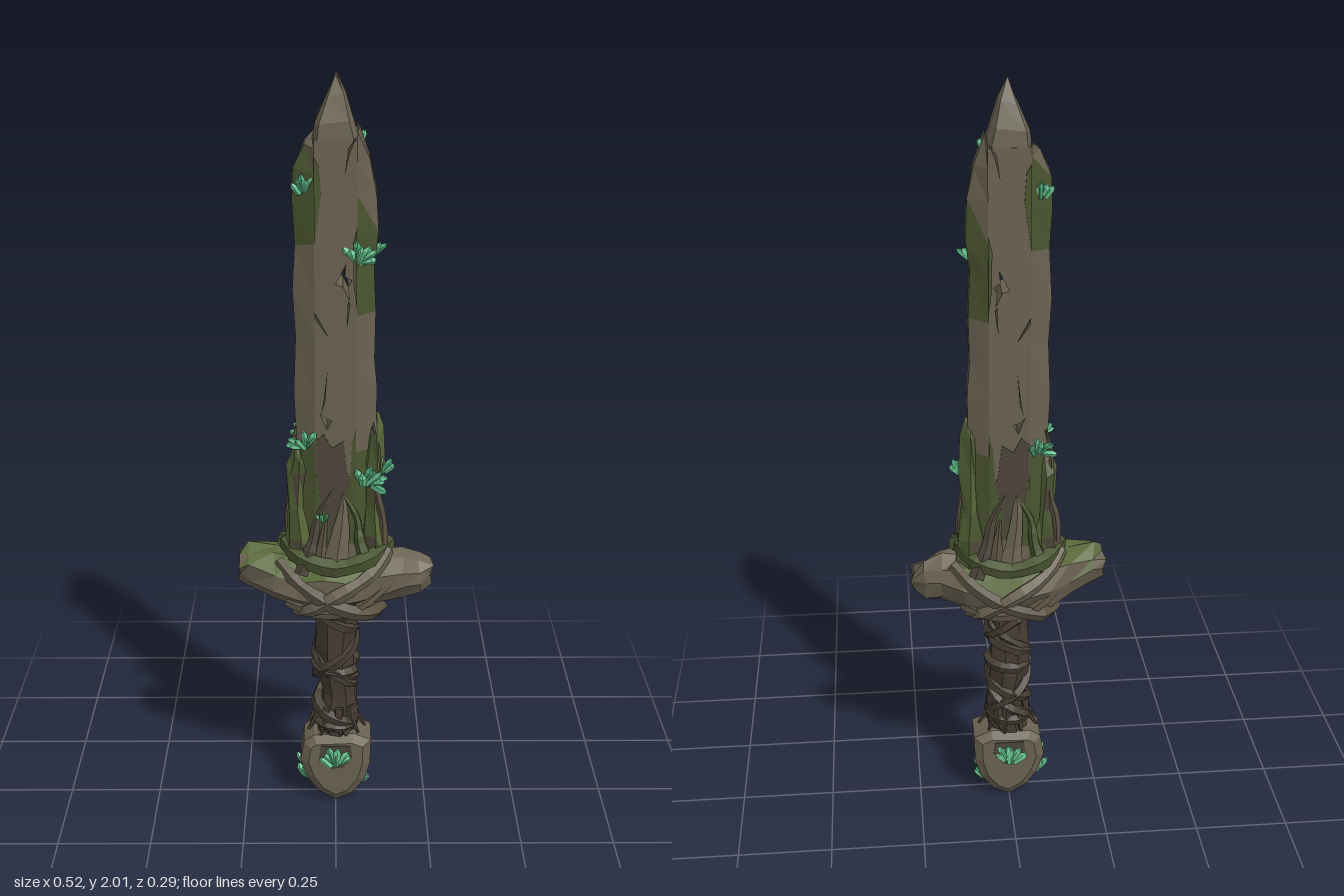
import * as THREE from 'three';

const mat = (name, color) => Object.assign(new THREE.MeshStandardMaterial({ color }), { name });
const V = (x, y, z) => new THREE.Vector3(x, y, z);

export function createModel() {
  const stone = mat('stone', 0x6a6252), dark = mat('darkStone', 0x4c453a), moss = mat('moss', 0x5a693b),
    deepMoss = mat('deepMoss', 0x4a5430), wood = mat('gripWood', 0x463d33), root = mat('root', 0x595041),
    crystal = mat('crystal', 0x6ac894), deepCrystal = mat('deepCrystal', 0x4fa878);
  const model = new THREE.Group();
  model.name = 'overgrownStoneSword';

  let seed = 7;
  const rnd = () => (seed = (seed * 16807) % 2147483647) / 2147483647;
  const jit = (a) => (rnd() - 0.5) * 2 * a;

  const add = (name, geo, material, parent = model) => {
    const g = geo.index ? geo.toNonIndexed() : geo;
    g.computeVertexNormals();
    const m = new THREE.Mesh(g, material);
    m.name = name;
    parent.add(m);
    return m;
  };

  // Skin of quads over closed rings; paint(centre, normal) picks each triangle's material index
  function loft(rings, paint = () => 0) {
    const buckets = [[], [], []];
    const tri = (a, b, c) => {
      const n = b.clone().sub(a).cross(c.clone().sub(a)).normalize();
      const mid = a.clone().add(b).add(c).divideScalar(3);
      buckets[paint(mid, n)].push(...a.toArray(), ...b.toArray(), ...c.toArray());
    };
    const k = rings[0].length;
    for (let i = 0; i < rings.length - 1; i++) for (let j = 0; j < k; j++) {
      const a = rings[i][j], b = rings[i][(j + 1) % k], c = rings[i + 1][(j + 1) % k], d = rings[i + 1][j];
      tri(a, d, c);
      tri(a, c, b);
    }
    [rings[0], rings.at(-1)].forEach((r, end) => {
      const mid = r.reduce((s, p) => s.add(p), V(0, 0, 0)).divideScalar(k);
      r.forEach((p, j) => end ? tri(mid, r[(j + 1) % k], p) : tri(mid, p, r[(j + 1) % k]));
    });
    const geo = new THREE.BufferGeometry();
    geo.setAttribute('position', new THREE.Float32BufferAttribute(buckets.flat(), 3));
    let start = 0;
    buckets.forEach((b, i) => { geo.addGroup(start, b.length / 3, i); start += b.length / 3; });
    return geo;
  }

  // Upright stack of ovals: rows of [y, x centre, x radius, z radius]
  const stack = (rows, sides, rough) => rows.map(([y, cx, rx, rz]) => Array.from({ length: sides }, (_, j) => {
    const a = (j + 0.5) / sides * Math.PI * 2;
    return V(cx + rx * Math.cos(a) + jit(rough), y + jit(rough), rz * Math.sin(a) + jit(rough));
  }));

  // Tapering strand along a curve
  function strand(name, pts, r0, r1, material, parent = model, n = 12) {
    const curve = new THREE.CatmullRomCurve3(pts.map((p) => V(...p)));
    const { normals, binormals } = curve.computeFrenetFrames(n);
    const rings = normals.map((N, i) => {
      const p = curve.getPoint(i / n), r = (r0 + (r1 - r0) * i / n) * (1 + jit(0.15));
      return Array.from({ length: 5 }, (_, j) => {
        const a = j / 5 * Math.PI * 2;
        return p.clone().addScaledVector(binormals[i], r * Math.cos(a)).addScaledVector(N, r * Math.sin(a));
      });
    });
    return add(name, loft(rings), material, parent);
  }

  const outline = (pts) => new THREE.Shape(pts.map((p) => new THREE.Vector2(...p)));

  // Blade: flat middle with two chipped holes, bevelled edges, pointed tip
  const blade = new THREE.Group();
  blade.name = 'blade';
  model.add(blade);
  const xi = 0.052, h = 0.053;
  const plate = outline([[-xi, 0.74], [xi, 0.74], [xi, 1.85], [-xi, 1.85]]);
  plate.holes.push(
    outline([[0.0, 1.5], [0.015, 1.53], [0.025, 1.55], [0.022, 1.52], [0.04, 1.51], [0.03, 1.495], [0.034, 1.46], [0.018, 1.495]]),
    outline([[-0.04, 1.165], [-0.025, 1.15], [-0.01, 1.145], [-0.022, 1.12], [-0.03, 1.14]]));
  add('bladeMiddle', new THREE.ExtrudeGeometry(plate, { depth: 2 * h, bevelEnabled: false }).translate(0, 0, -h), stone, blade);

  const edges = {
    1: [[0.74, 0.105], [0.9, 0.11], [1.06, 0.103], [1.22, 0.105], [1.3, 0.098], [1.42, 0.1], [1.54, 0.095], [1.62, 0.105], [1.72, 0.1], [1.8, 0.083], [1.87, 0.056]],
    '-1': [[0.74, 0.1], [0.92, 0.108], [1.08, 0.1], [1.2, 0.106], [1.36, 0.1], [1.47, 0.107], [1.6, 0.1], [1.7, 0.106], [1.77, 0.103], [1.83, 0.075], [1.86, 0.056]],
  };
  for (const s of [1, -1]) {
    const rings = edges[s].map(([y, x]) => [[x, -0.022], [x, 0.022], [xi, h], [xi, -h]]
      .map(([px, pz], j) => V(s * px, y + (j < 2 ? jit(0.012) : 0), s * pz)));
    const paint = (c, n) => {
      const flat = Math.abs(n.x) > 0.8;
      const grown = c.y < 1.08 || (s > 0 ? c.y > 1.42 && c.y < (flat ? 1.8 : 1.68) : c.y > 1.6 && c.y < 1.8);
      return grown ? (flat ? 1 : 2) : 0;
    };
    add(s > 0 ? 'leftEdge' : 'rightEdge', loft(rings, paint), [stone, moss, deepMoss], blade);
  }
  const tipRing = (y, kx, kz, cx) => [[0.058, -0.02], [0.058, 0.02], [0.045, 0.053], [-0.045, 0.053], [-0.058, 0.02], [-0.058, -0.02], [-0.045, -0.053], [0.045, -0.053]]
    .map(([x, z]) => V(cx + x * kx, y + x * 0.1, z * kz));
  add('bladeTip', loft([tipRing(1.84, 1, 1, 0), tipRing(1.89, 0.8, 0.9, -0.004), tipRing(1.95, 0.42, 0.5, 0), tipRing(2, 0.01, 0.01, 0)]), stone, blade);

  // Thin stains, moss growth and cracks on both faces
  const patches = [
    ['darkStain', dark, [[-0.05, 0.82], [0.05, 0.82], [0.051, 0.96], [0.03, 1.0], [0.02, 1.09], [-0.01, 1.07], [-0.03, 1.11], [-0.051, 1.09]]],
    ['mossLowerLeft', deepMoss, [[0.052, 0.8], [0.052, 1.12], [0.042, 1.08], [0.038, 0.98], [0.015, 0.9], [0.02, 0.8]]],
    ['mossLowerRight', deepMoss, [[-0.052, 0.8], [-0.01, 0.8], [-0.025, 0.9], [-0.04, 0.93], [-0.044, 0.98], [-0.052, 1.0]]],
    ['mossUpper', deepMoss, [[-0.052, 1.6], [-0.045, 1.65], [-0.035, 1.72], [-0.04, 1.79], [-0.052, 1.81]]],
    ['mossMiddle', deepMoss, [[0.052, 1.44], [0.052, 1.64], [0.042, 1.6], [0.044, 1.5]]],
    ['crackTop', dark, [[0.05, 1.86], [0.03, 1.83], [0.022, 1.77], [0.034, 1.82]]],
    ['crackHole', dark, [[0.03, 1.46], [0.028, 1.39], [0.036, 1.45]]],
    ['crackSide', dark, [[-0.052, 1.43], [-0.02, 1.37], [-0.052, 1.415]]],
    ['crackLow', dark, [[-0.02, 1.28], [-0.03, 1.2], [-0.035, 1.17], [-0.026, 1.2]]],
  ];
  patches.forEach(([name, m, pts], i) => {
    const depth = 0.003 + i * 0.0004;
    for (const z of [h - 0.001, -h + 0.001 - depth])
      add(name, new THREE.ExtrudeGeometry(outline(pts), { depth, bevelEnabled: false }).translate(0, 0, z), m, blade);
  });

  // Mossy lumps hugging the blade's lower edges
  for (const s of [1, -1]) {
    const top = s > 0 ? 1.15 : 1.08;
    add('mossLump', loft(stack([[0.74, s * 0.1, 0.045, 0.072], [0.82, s * 0.095, 0.038, 0.068], [0.9, s * 0.098, 0.029, 0.06], [1, s * 0.1, 0.026, 0.056], [top - 0.05, s * 0.1, 0.02, 0.045], [top, s * 0.098, 0.006, 0.015]], 7, 0.007),
      (c, n) => Math.abs(n.x) > 0.7 ? 0 : Math.sin(c.y * 45 + c.z * 50) > 0.7 ? 2 : 1), [moss, deepMoss, dark]);
  }

  // Guard: rough boulder bar along x, moss on the upper faces of its right half
  const guardRows = [[-0.255, 0.715, 0.04, 0.05], [-0.225, 0.715, 0.06, 0.062], [-0.16, 0.695, 0.075, 0.085], [-0.1, 0.685, 0.08, 0.1], [-0.03, 0.685, 0.085, 0.118],
    [0.05, 0.685, 0.085, 0.118], [0.12, 0.69, 0.075, 0.095], [0.18, 0.695, 0.066, 0.065], [0.225, 0.69, 0.058, 0.045], [0.256, 0.685, 0.038, 0.018]];
  const guardRings = guardRows.map(([x, cy, ry, rz]) => Array.from({ length: 9 }, (_, j) => {
    const a = (j + 0.5) / 9 * Math.PI * 2;
    return V(x + jit(0.007), cy + ry * Math.sin(a) + jit(0.009), rz * Math.cos(a) + jit(0.008));
  }));
  add('guard', loft(guardRings, (c, n) => n.y > 0.42 && c.x < 0.1 && c.x > -0.24 ? 1 : n.y < -0.75 ? 2 : 0), [stone, moss, dark]);

  // Roots and shards around the guard, repeated on the back
  for (const turn of [0, Math.PI]) {
    const g = new THREE.Group();
    g.name = turn ? 'backRoots' : 'frontRoots';
    g.rotation.y = turn;
    model.add(g);
    strand('crossRoot', [[-0.15, 0.75, 0.05], [-0.09, 0.7, 0.1], [0, 0.65, 0.122], [0.08, 0.62, 0.1], [0.12, 0.61, 0.03]], 0.016, 0.022, root, g);
    strand('crossRoot', [[0.14, 0.78, 0.04], [0.09, 0.73, 0.095], [0, 0.68, 0.123], [-0.07, 0.63, 0.1], [-0.1, 0.6, 0.03]], 0.018, 0.022, stone, g);
    strand('lowRoot', [[-0.13, 0.64, 0.07], [-0.03, 0.615, 0.1], [0.06, 0.64, 0.108], [0.15, 0.7, 0.065]], 0.014, 0.013, root, g);
    strand('collarMoss', [[-0.13, 0.785, 0.0], [-0.09, 0.77, 0.075], [0, 0.75, 0.095], [0.09, 0.77, 0.078], [0.14, 0.785, 0.0]], 0.022, 0.022, deepMoss, g);
    strand('climbingRoot', [[-0.09, 0.73, 0.09], [-0.06, 0.81, 0.068], [-0.045, 0.88, 0.058], [-0.01, 0.95, 0.052]], 0.022, 0.004, dark, g);
    strand('climbingRoot', [[0.09, 0.74, 0.08], [0.065, 0.81, 0.066], [0.055, 0.88, 0.056], [0.02, 0.94, 0.052]], 0.02, 0.004, deepMoss, g);
    strand('shard', [[0, 0.74, 0.07], [0.01, 0.82, 0.06], [0.02, 0.89, 0.055], [0.018, 0.95, 0.05]], 0.035, 0.005, stone, g, 4);
    strand('shard', [[-0.04, 0.74, 0.07], [-0.035, 0.8, 0.062], [-0.025, 0.88, 0.055]], 0.026, 0.004, root, g, 4);
    strand('edgeVine', [[0.125, 0.76, 0.03], [0.122, 0.87, 0.04], [0.105, 0.95, 0.045], [0.11, 1.05, 0.035], [0.095, 1.12, 0.035]], 0.014, 0.004, root, g);
  }

  // Grip: faceted core with crossing wraps and a splintered collar
  const grip = new THREE.Group();
  grip.name = 'grip';
  model.add(grip);
  add('gripCore', loft(stack([[0.19, 0, 0.052, 0.052], [0.26, 0.008, 0.058, 0.056], [0.33, 0.01, 0.05, 0.054], [0.4, 0, 0.054, 0.06], [0.47, -0.006, 0.052, 0.057], [0.54, 0, 0.058, 0.06], [0.62, 0, 0.062, 0.06]], 8, 0.005)), wood, grip);
  const helix = (y0, y1, turns, phase, rx, rz) => Array.from({ length: 17 }, (_, i) => {
    const a = phase + turns * i / 16 * Math.PI * 2;
    return [rx * Math.cos(a), y0 + (y1 - y0) * i / 16, rz * Math.sin(a)];
  });
  strand('wrap', helix(0.23, 0.6, 2.5, 0, 0.051, 0.055), 0.016, 0.016, wood, grip, 40);
  strand('wrap', helix(0.22, 0.6, -1.6, 1.2, 0.051, 0.055), 0.014, 0.016, wood, grip, 32);
  strand('wrap', helix(0.25, 0.58, 1.5, 3.4, 0.05, 0.054), 0.015, 0.012, dark, grip, 32);
  for (const y of [0.25, 0.42, 0.595]) strand('band', helix(y - 0.012, y + 0.012, 1, 0.4, 0.052, 0.054), 0.015, 0.015, wood, grip, 16);
  for (let i = 0; i < 9; i++) {
    const a = i / 9 * Math.PI * 2, c = Math.cos(a), s = Math.sin(a), d = 0.02 * rnd();
    strand('splinter', [[0.046 * c, 0.3, 0.05 * s], [0.055 * c, 0.26, 0.055 * s], [(0.065 + d) * c, 0.215, 0.06 * s]], 0.015, 0.004, wood, grip, 4);
  }

  // Pommel: flat bevelled stone
  const pommel = outline([[-0.06, 0.21], [-0.088, 0.19], [-0.098, 0.13], [-0.08, 0.075], [-0.05, 0.03], [0, 0], [0.045, 0.02], [0.08, 0.065], [0.096, 0.12], [0.098, 0.195], [0.05, 0.215]]);
  add('pommel', new THREE.ExtrudeGeometry(pommel, { depth: 0.09, bevelThickness: 0.016, bevelSize: 0.022, bevelOffset: -0.022, bevelSegments: 1 }).translate(0, 0, -0.045), stone);
  for (const z of [0.06, -0.0635])
    add('pommelHollow', new THREE.ExtrudeGeometry(outline([[-0.04, 0.185], [-0.045, 0.15], [-0.015, 0.11], [0.02, 0.115], [0.045, 0.15], [0.04, 0.185]]), { depth: 0.0035, bevelEnabled: false }).translate(0, 0, z), dark);

  // Crystal clusters fanning out: [position, growth direction, count, size, fan half-angle]
  const clusters = [
    [[0.055, 1.555, 0.047], [0.3, 0.8, 0.25], 8, 0.055, 1.1], [[0.09, 1.56, 0.005], [0.4, 0.8, 0], 3, 0.045, 0.5],
    [[0.08, 0.975, 0.055], [0.5, 0.5, 0.25], 9, 0.058, 1.2], [[0.118, 0.99, 0.01], [0.3, 0.8, 0], 4, 0.05, 0.7],
    [[-0.08, 1.075, 0.047], [-0.35, 0.6, 0.3], 7, 0.052, 1.1], [[-0.075, 1.07, -0.052], [-0.3, 0.6, -0.3], 6, 0.05, 1.1],
    [[-0.078, 1.725, 0.04], [-0.1, 0.9, 0.2], 5, 0.045, 0.6], [[-0.078, 1.725, -0.04], [-0.1, 0.9, -0.2], 4, 0.045, 0.6],
    [[-0.035, 0.865, 0.06], [0, 0.8, 0.3], 3, 0.035, 0.6], [[0.058, 1.835, -0.01], [0.1, 1, 0], 2, 0.04, 0.25],
    [[0, 0.125, 0.062], [0, 1, 0.06], 8, 0.058, 0.95], [[0, 0.125, -0.062], [0, 1, -0.06], 8, 0.058, 0.95],
    [[0.07, 0.05, 0.026], [0.25, 0.9, 0.1], 4, 0.045, 0.4], [[0.07, 0.05, -0.026], [0.25, 0.9, -0.1], 4, 0.045, 0.4],
    [[-0.076, 0.065, 0.03], [-0.15, 0.9, 0.1], 4, 0.055, 0.35], [[-0.076, 0.065, -0.03], [-0.15, 0.9, -0.1], 4, 0.055, 0.35],
  ];
  for (const [pos, dir, count, size, fan] of clusters) {
    const g = new THREE.Group();
    g.name = 'crystalCluster';
    g.position.set(...pos);
    model.add(g);
    for (let i = 0; i < count; i++) {
      const t = 2 * (i + 0.5) / count - 1;
      const len = size * (1 - 0.3 * Math.abs(t)) * (i % 2 ? 0.8 : 1), r = size * (0.15 + 0.05 * rnd());
      const profile = [[0, 0], [r * 0.75, 0], [r, len * 0.75], [r * 0.4, len], [0, len]].map((p) => new THREE.Vector2(...p));
      const m = add('crystal', new THREE.LatheGeometry(profile, 5), i % 3 === 2 ? deepCrystal : crystal, g);
      const d = V(...dir).normalize().applyAxisAngle(V(0, 0, 1), -t * fan + jit(0.12));
      d.z += jit(0.12);
      m.quaternion.setFromUnitVectors(V(0, 1, 0), d.normalize());
      m.position.set(t * size * 0.25, jit(size * 0.15), jit(size * 0.08));
    }
  }
  return model;
}
